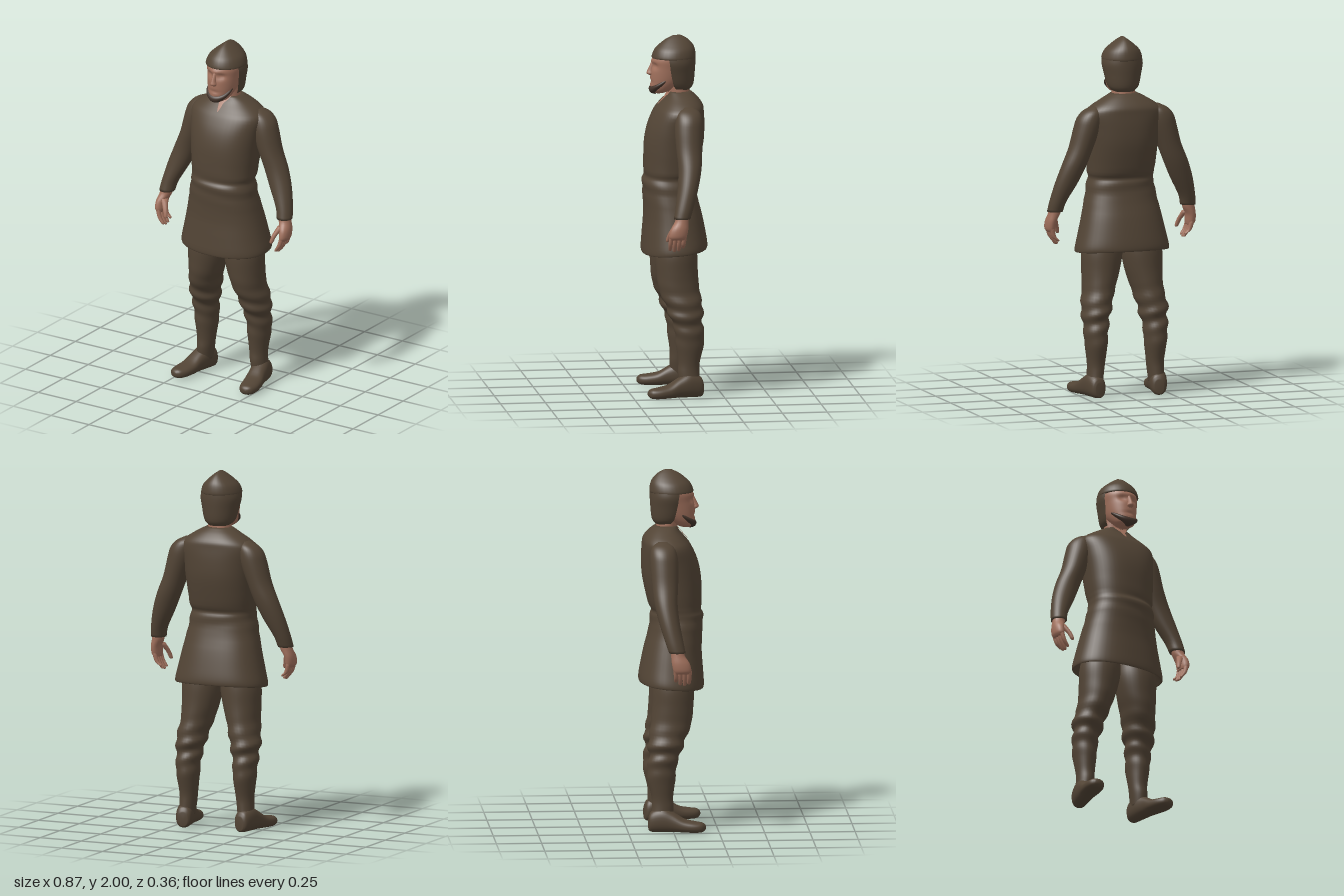
import * as THREE from 'three';

const cloth = new THREE.MeshStandardMaterial({ color: 0x524435, side: THREE.DoubleSide });
cloth.name = 'brown wool';
const skin = new THREE.MeshStandardMaterial({ color: 0xa0705c, side: THREE.DoubleSide });
skin.name = 'skin';
const hair = new THREE.MeshStandardMaterial({ color: 0x43342b, side: THREE.DoubleSide });
hair.name = 'dark beard';

const gauss = (d, w) => Math.exp(-(d * d) / (w * w));

// Smooth loft through rings [height, centre x, centre z, radius x, radius z], listed upwards.
// e < 1 squares the section; from/to limit the arc; warp(point, angle) moves vertices.
function loft(name, material, rings, { seg = 32, steps = 4, e = 1, side = 1, from = 0, to = 2 * Math.PI, warp } = {}) {
  const curve = new THREE.CubicInterpolant(rings.map((_, i) => i), rings.flat(), 5);
  const rows = (rings.length - 1) * steps;
  const pos = [], idx = [], p = new THREE.Vector3();
  const pw = v => Math.sign(v) * Math.pow(Math.abs(v), e);
  const closed = to - from > 6.28;
  const cols = closed ? seg : seg + 1;
  for (let i = 0; i <= rows; i++) {
    const [y, cx, cz, rx, rz] = curve.evaluate(i / steps);
    for (let j = 0; j < cols; j++) {
      const a = from + (to - from) * j / seg;
      p.set(cx * side + rx * pw(Math.sin(a)), y, cz + rz * pw(Math.cos(a)));
      if (warp) warp(p, a);
      pos.push(p.x, p.y, p.z);
    }
  }
  for (let i = 0; i < rows; i++) {
    for (let j = 0; j < seg; j++) {
      const a = i * cols + j, b = i * cols + (j + 1) % cols;
      idx.push(a, b, a + cols, b, b + cols, a + cols);
    }
  }
  // End caps
  if (closed) {
    for (const [ring, row, up] of [[rings[0], 0, false], [rings.at(-1), rows, true]]) {
      const c = pos.length / 3;
      pos.push(ring[1] * side, ring[0], ring[2]);
      for (let j = 0; j < seg; j++) {
        const a = row * cols + j, b = row * cols + (j + 1) % cols;
        if (up) idx.push(a, b, c); else idx.push(b, a, c);
      }
    }
  }
  const g = new THREE.BufferGeometry();
  g.setAttribute('position', new THREE.Float32BufferAttribute(pos, 3));
  g.setIndex(idx);
  g.computeVertexNormals();
  const mesh = new THREE.Mesh(g, material);
  mesh.name = name;
  return mesh;
}

function makeTunic() {
  const rings = [
    [0.9, 0, 0, 0.2, 0.13], [0.825, 0, 0, 0.248, 0.163], [0.805, 0, 0, 0.262, 0.176],
    [0.83, 0, 0, 0.264, 0.18], [0.9, 0, 0.002, 0.248, 0.173], [1.0, 0, 0.008, 0.225, 0.16],
    [1.12, 0, 0.025, 0.198, 0.147], [1.19, 0, 0.03, 0.186, 0.146], [1.22, 0, 0.028, 0.181, 0.138],
    [1.26, 0, 0.02, 0.188, 0.148], [1.4, 0, 0.003, 0.2, 0.162], [1.5, 0, -0.01, 0.212, 0.155],
    [1.58, 0, -0.026, 0.222, 0.135], [1.62, 0, -0.038, 0.192, 0.117], [1.66, 0, -0.04, 0.13, 0.085],
    [1.69, 0, -0.03, 0.074, 0.06],
  ];
  // Hem dips at the front, soft creases gather around the waist
  const warp = (p, a) => {
    const k = 1 + 0.015 * Math.sin(p.y * 75 + 2 * Math.sin(a)) * gauss(p.y - 1.18, 0.1);
    p.x *= k;
    p.z *= k;
    p.y -= 0.016 * Math.cos(a) * gauss(p.y - 0.8, 0.1);
  };
  return loft('tunic', cloth, rings, { seg: 48, e: 0.88, warp });
}

function makeArm(side) {
  const arm = new THREE.Group();
  arm.name = side > 0 ? 'leftArm' : 'rightArm';
  arm.add(loft('sleeve', cloth, [
    [1.04, 0.388, 0.008, 0.043, 0.046], [1.1, 0.375, -0.008, 0.047, 0.05],
    [1.2, 0.336, -0.032, 0.063, 0.057], [1.3, 0.296, -0.048, 0.069, 0.064],
    [1.4, 0.256, -0.05, 0.068, 0.072], [1.5, 0.224, -0.052, 0.074, 0.078],
    [1.56, 0.208, -0.055, 0.071, 0.074], [1.6, 0.192, -0.056, 0.053, 0.06],
    [1.625, 0.175, -0.056, 0.02, 0.025],
  ], { side }));
  arm.add(loft('palm', skin, [
    [0.925, 0.405, 0.035, 0.02, 0.042], [0.945, 0.409, 0.034, 0.027, 0.05],
    [0.985, 0.407, 0.025, 0.029, 0.049], [1.025, 0.393, 0.011, 0.034, 0.038],
    [1.06, 0.386, 0.007, 0.034, 0.036],
  ], { side, seg: 20 }));
  // Four curled fingers, then the thumb
  [0.86, 0.852, 0.856, 0.872].forEach((tip, i) => {
    const z = 0.073 - i * 0.024;
    arm.add(loft('finger', skin, [
      [tip, 0.372, z, 0.005, 0.005], [tip + 0.008, 0.375, z, 0.01, 0.01],
      [0.9, 0.396, z, 0.0125, 0.012], [0.955, 0.411, z - 0.005, 0.014, 0.013],
    ], { side, seg: 10, steps: 3 }));
  });
  arm.add(loft('thumb', skin, [
    [0.905, 0.347, 0.083, 0.005, 0.005], [0.914, 0.349, 0.082, 0.011, 0.011],
    [0.95, 0.36, 0.07, 0.014, 0.014], [1.0, 0.385, 0.04, 0.02, 0.02],
  ], { side, seg: 10, steps: 3 }));
  return arm;
}

function makeLeg(side) {
  const leg = new THREE.Group();
  leg.name = side > 0 ? 'leftLeg' : 'rightLeg';
  // Baggy folds around the knee
  const warp = (p, a) => {
    const k = 0.007 * Math.sin(p.y * 70 + 1.6 * Math.sin(a)) * gauss(p.y - 0.46, 0.11);
    p.x += k * Math.sin(a);
    p.z += k * Math.cos(a);
  };
  leg.add(loft('trouserLeg', cloth, [
    [0.07, 0.182, -0.065, 0.044, 0.058], [0.14, 0.175, -0.058, 0.046, 0.06],
    [0.2, 0.172, -0.06, 0.05, 0.06], [0.3, 0.173, -0.065, 0.062, 0.078],
    [0.38, 0.173, -0.06, 0.068, 0.08], [0.44, 0.168, -0.046, 0.075, 0.088],
    [0.5, 0.163, -0.038, 0.084, 0.1], [0.6, 0.141, -0.01, 0.09, 0.112],
    [0.7, 0.125, 0, 0.105, 0.115], [0.8, 0.116, 0.003, 0.114, 0.115],
    [0.9, 0.108, 0, 0.1, 0.1],
  ], { side, steps: 6, warp }));
  // Shoe is lofted from heel to toe, then laid forward
  const shoe = loft('shoe', cloth, [
    [-0.138, 0, -0.052, 0.025, 0.038], [-0.12, 0, -0.062, 0.043, 0.058],
    [-0.06, 0, -0.072, 0.05, 0.068], [0, 0, -0.06, 0.05, 0.054],
    [0.06, 0, -0.042, 0.054, 0.037], [0.12, 0, -0.035, 0.052, 0.031],
    [0.16, 0, -0.034, 0.038, 0.026], [0.178, 0, -0.034, 0.014, 0.012],
  ], { e: 0.85 });
  shoe.rotation.x = Math.PI / 2;
  const foot = new THREE.Group();
  foot.name = 'foot';
  foot.position.x = 0.2 * side;
  foot.rotation.y = 0.2 * side;
  foot.add(shoe);
  leg.add(foot);
  return leg;
}

function makeHead() {
  const head = new THREE.Group();
  head.name = 'head';
  head.add(loft('neck', skin, [
    [1.6, 0, -0.035, 0.07, 0.055], [1.69, 0, -0.025, 0.066, 0.058], [1.78, 0, -0.015, 0.062, 0.06],
  ]));
  // Eye sockets, brow and mouth are pressed into the face
  const warp = (p, a) => {
    if (Math.cos(a) < 0) return;
    p.z -= 0.014 * gauss(p.y - 1.835, 0.018) * gauss(Math.abs(p.x) - 0.036, 0.022);
    p.z += 0.006 * gauss(p.y - 1.86, 0.012) * gauss(p.x, 0.06);
    p.z -= 0.006 * gauss(p.y - 1.745, 0.008) * gauss(p.x, 0.03);
  };
  head.add(loft('face', skin, [
    [1.68, 0, 0.085, 0.025, 0.03], [1.7, 0, 0.07, 0.055, 0.06], [1.75, 0, 0.037, 0.078, 0.095],
    [1.82, 0, 0.015, 0.091, 0.113], [1.88, 0, 0.004, 0.098, 0.112], [1.93, 0, 0, 0.07, 0.085],
  ], { seg: 48, steps: 8, warp }));
  head.add(loft('nose', skin, [
    [1.778, 0, 0.122, 0.012, 0.012], [1.79, 0, 0.13, 0.019, 0.023],
    [1.81, 0, 0.127, 0.013, 0.02], [1.855, 0, 0.112, 0.01, 0.014],
  ], { seg: 12 }));
  // Beard sweeps up along the jaw
  head.add(loft('beard', hair, [
    [1.672, 0, 0.075, 0.025, 0.03], [1.682, 0, 0.073, 0.058, 0.058],
    [1.7, 0, 0.067, 0.076, 0.073], [1.715, 0, 0.062, 0.076, 0.073], [1.722, 0, 0.058, 0.064, 0.064],
  ], { from: -1.7, to: 1.7, warp: (p, a) => { p.y += 0.042 * (1 - Math.cos(a)); } }));
  // Pointed cap with a neck guard
  head.add(loft('cap', cloth, [
    [1.878, 0, 0, 0.098, 0.108], [1.88, 0, 0.002, 0.112, 0.122], [1.92, 0, -0.003, 0.099, 0.113],
    [1.95, 0, -0.01, 0.071, 0.093], [1.98, 0, -0.015, 0.034, 0.06], [2.0, 0, -0.017, 0.005, 0.022],
  ]));
  head.add(loft('neckGuard', cloth, [
    [1.7, 0, -0.03, 0.06, 0.058], [1.73, 0, -0.02, 0.087, 0.087], [1.8, 0, -0.01, 0.104, 0.105],
    [1.85, 0, -0.005, 0.114, 0.113], [1.89, 0, 0, 0.109, 0.117],
  ], { from: Math.PI * 0.38, to: Math.PI * 1.62 }));
  return head;
}

// Open neckline: a thin patch bent to the slope of the chest
function makeNeckline() {
  const shape = new THREE.Shape([
    [-0.045, 1.695], [-0.034, 1.675], [-0.014, 1.655], [-0.009, 1.63], [0, 1.61],
    [0.009, 1.63], [0.014, 1.655], [0.034, 1.675], [0.045, 1.695],
  ].map(([x, y]) => new THREE.Vector2(x, y)));
  const g = new THREE.ShapeGeometry(shape);
  const p = g.attributes.position;
  for (let i = 0; i < p.count; i++) {
    const d = 1.69 - p.getY(i);
    p.setZ(i, 0.037 + 0.4 * d + 4.6 * d * d - 5 * p.getX(i) ** 2);
  }
  g.computeVertexNormals();
  const mesh = new THREE.Mesh(g, skin);
  mesh.name = 'neckline';
  return mesh;
}

export function createModel() {
  const model = new THREE.Group();
  model.name = 'manInTunic';
  model.add(makeTunic(), makeNeckline(), makeHead());
  for (const side of [1, -1]) model.add(makeArm(side), makeLeg(side));
  return model;
}
